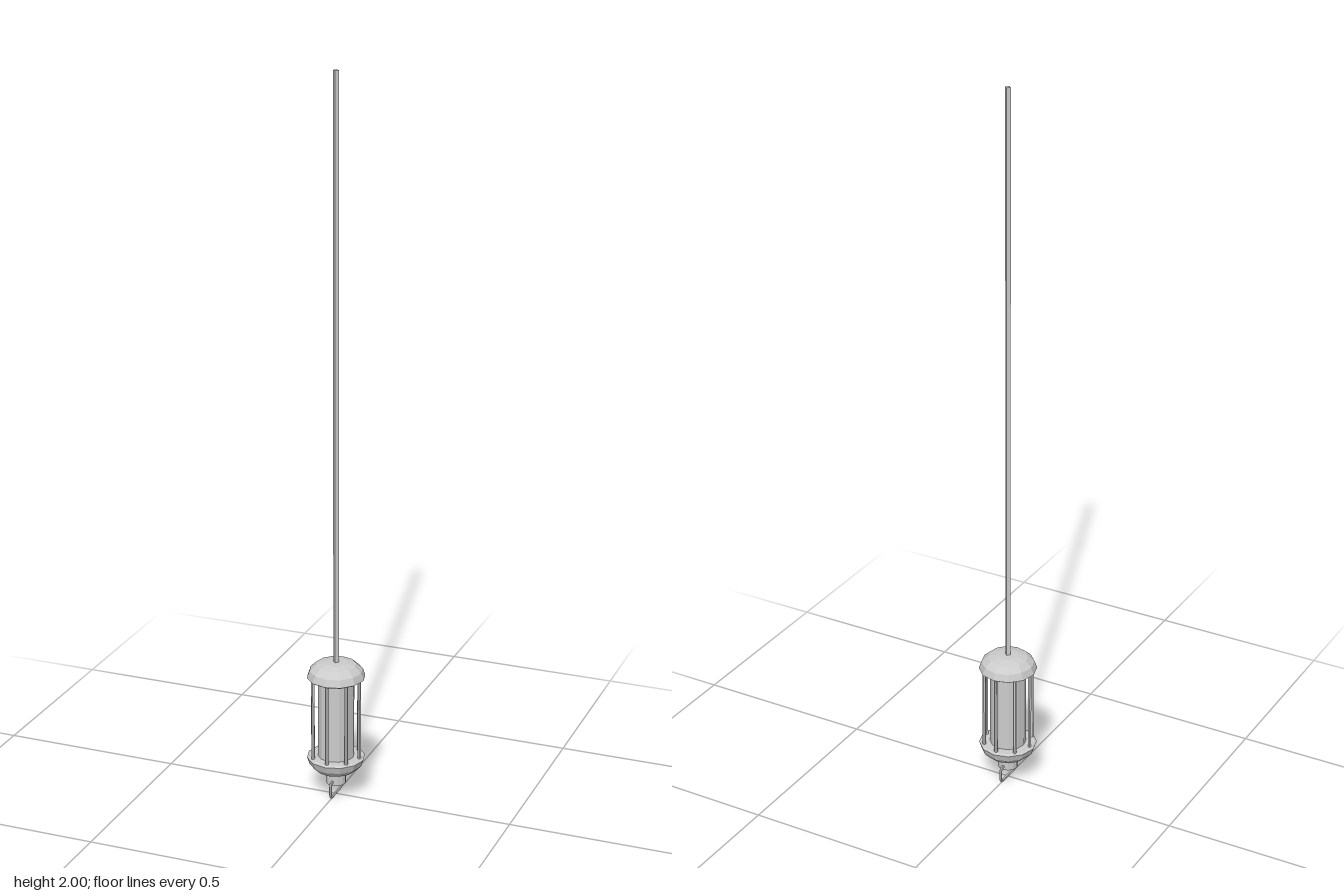
import * as THREE from 'three';

const material = new THREE.MeshStandardMaterial({ color: 0xcccccc, flatShading: true });

function add(group, name, geometry, y = 0) {
  const mesh = new THREE.Mesh(geometry, material);
  mesh.name = name;
  mesh.position.y = y;
  group.add(mesh);
  return mesh;
}

// Profile points run from the bottom of the axis to the top
const lathe = (points) =>
  new THREE.LatheGeometry(points.map(([r, y]) => new THREE.Vector2(r, y)), 12);

// Closed, softly cornered loop in the YZ plane
function loopCurve(halfWidth, bottom, top, corner) {
  const path = new THREE.CurvePath();
  const p = (z, y) => new THREE.Vector3(0, y, z);
  const w = halfWidth;
  const corners = [[w, bottom], [w, top], [-w, top], [-w, bottom]];
  corners.forEach(([z, y], i) => {
    const here = p(z, y);
    const before = p(...corners[(i + 3) % 4]);
    const after = p(...corners[(i + 1) % 4]);
    const toward = (q) => here.clone().add(q.clone().sub(here).setLength(corner));
    path.add(new THREE.QuadraticBezierCurve3(toward(before), here, toward(after)));
    const next = after.clone().add(here.clone().sub(after).setLength(corner));
    path.add(new THREE.LineCurve3(toward(after), next));
  });
  return path;
}

export function createModel() {
  const model = new THREE.Group();
  model.name = 'hangingCagedLamp';

  // Long square cable
  add(model, 'cable', new THREE.CylinderGeometry(0.008, 0.008, 1.61, 4), 1.195);

  // Domed caps
  add(model, 'topCap', lathe([
    [0, 0.348], [0.074, 0.348], [0.08, 0.352], [0.073, 0.372],
    [0.055, 0.388], [0.03, 0.394], [0, 0.395],
  ]));
  add(model, 'bottomCap', lathe([
    [0, 0.07], [0.03, 0.071], [0.055, 0.078], [0.073, 0.095],
    [0.08, 0.115], [0.074, 0.119], [0, 0.119],
  ]));

  // Inner tube
  add(model, 'innerTube', new THREE.CylinderGeometry(0.05, 0.05, 0.24, 12), 0.233);

  // Cage of upright bars
  const cage = new THREE.Group();
  cage.name = 'cage';
  model.add(cage);
  const barGeometry = new THREE.CylinderGeometry(0.005, 0.005, 0.24, 6);
  for (let i = 0; i < 8; i++) {
    const angle = (i / 8) * Math.PI * 2;
    const bar = add(cage, 'cageBar', barGeometry, 0.233);
    bar.position.x = Math.sin(angle) * 0.068;
    bar.position.z = Math.cos(angle) * 0.068;
    bar.rotation.y = angle;
  }

  // Stub and pull loop below
  add(model, 'stub', new THREE.CylinderGeometry(0.028, 0.028, 0.04, 12), 0.057);
  add(model, 'pullLoop',
    new THREE.TubeGeometry(loopCurve(0.041, 0.004, 0.047, 0.012), 48, 0.004, 6, true));

  return model;
}
